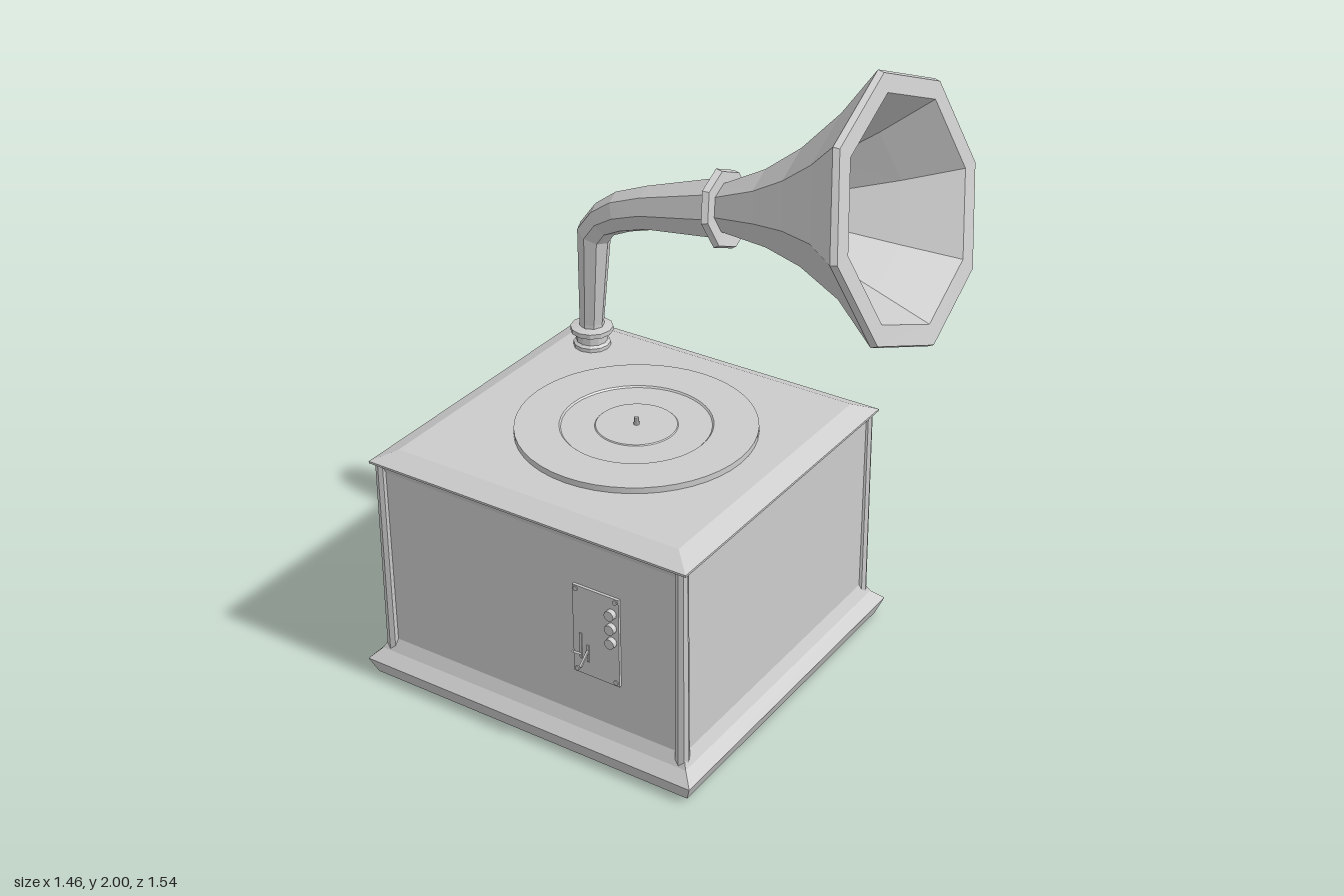
import * as THREE from 'three';
import { toCreasedNormals } from 'three/addons/utils/BufferGeometryUtils.js';

const CX = -0.12, CZ = 0.172; // cabinet centre
const HORN_Z = -0.21;         // plane of the horn
const V = (x, y, z) => new THREE.Vector3(x, y, z);

const flat = new THREE.MeshStandardMaterial({ color: 0xcccccc, flatShading: true });
const smooth = new THREE.MeshStandardMaterial({ color: 0xcccccc });

// Skins a row of rings (counter-clockwise about the travel direction) and caps both ends.
function loft(rings) {
  const pos = [];
  const tri = (a, b, c) => pos.push(...a.toArray(), ...b.toArray(), ...c.toArray());
  const n = rings[0].length;
  for (let i = 0; i < rings.length - 1; i++) {
    for (let j = 0; j < n; j++) {
      const k = (j + 1) % n;
      tri(rings[i][j], rings[i][k], rings[i + 1][k]);
      tri(rings[i][j], rings[i + 1][k], rings[i + 1][j]);
    }
  }
  const first = rings[0], last = rings[rings.length - 1];
  for (let j = 1; j < n - 1; j++) {
    tri(first[0], first[j + 1], first[j]);
    tri(last[0], last[j], last[j + 1]);
  }
  const g = new THREE.BufferGeometry();
  g.setAttribute('position', new THREE.Float32BufferAttribute(pos, 3));
  g.computeVertexNormals();
  return g;
}

// Rectangular moulding from [half width, height] rows; depth is slightly less than width.
const moulding = rows => loft(rows.map(([h, y]) => {
  const d = h - 0.013;
  return [[1, 1], [1, -1], [-1, -1], [-1, 1]].map(([sx, sz]) => V(CX + sx * h, y, CZ + sz * d));
}));

// Eight-sided sections from [upper x, upper y, lower x, lower y] silhouette pairs.
const octagons = rows => loft(rows.map(([ux, uy, lx, ly]) => {
  const c = V((ux + lx) / 2, (uy + ly) / 2, HORN_Z);
  const u = V((ux - lx) / 2, (uy - ly) / 2, 0);
  const r = u.length();
  return Array.from({ length: 8 }, (_, i) => {
    const t = i * Math.PI / 4;
    return c.clone().addScaledVector(u, Math.cos(t)).add(V(0, 0, r * Math.sin(t)));
  });
}));

const lathe = (pts, segs) => new THREE.LatheGeometry(pts.map(([r, y]) => new THREE.Vector2(r, y)), segs);

export function createModel() {
  const root = new THREE.Group();
  const add = (name, geometry, material = flat, x = 0, y = 0, z = 0, parent = root) => {
    const m = new THREE.Mesh(geometry, material);
    m.name = name;
    m.position.set(x, y, z);
    parent.add(m);
    return m;
  };

  // Cabinet
  add('base', moulding([[0.588, 0], [0.61, 0.055], [0.575, 0.09], [0.555, 0.13]]));
  add('body', moulding([[0.555, 0.12], [0.555, 0.77]]));
  add('lid', moulding([[0.55, 0.735], [0.562, 0.765], [0.576, 0.775], [0.576, 0.782], [0.51, 0.812]]));
  for (const sx of [-1, 1]) for (const sz of [-1, 1]) {
    add('cornerPost', new THREE.CylinderGeometry(0.02, 0.023, 0.69, 8), flat,
      CX + sx * 0.547, 0.425, CZ + sz * 0.537);
  }

  // Turntable with a recessed label area and a spindle
  add('turntable', toCreasedNormals(lathe([[0.38, 0.81], [0.38, 0.832], [0.24, 0.832], [0.235, 0.827],
    [0.13, 0.827], [0.127, 0.83], [0, 0.83]], 48), 0.5), smooth, -0.09, 0, 0.172);
  add('spindle', new THREE.CylinderGeometry(0.007, 0.01, 0.03, 8), flat, -0.09, 0.84, 0.172);

  // Horn: socket, bent neck, joint ring and flared bell with an inner skin
  add('neckSocket', lathe([[0.062, 0.808], [0.062, 0.825], [0.052, 0.832], [0.052, 0.86],
    [0.071, 0.866], [0.071, 0.882], [0.04, 0.888]], 12), flat, -0.525, 0, HORN_Z);
  add('neck', octagons([
    [-0.567, 0.82, -0.48, 0.82], [-0.565, 0.9, -0.483, 0.9], [-0.56, 1.25, -0.455, 1.2],
    [-0.5, 1.33, -0.43, 1.235], [-0.42, 1.39, -0.365, 1.265], [-0.3, 1.44, -0.27, 1.295],
    [-0.04, 1.53, 0, 1.335]]));
  add('jointRing', octagons([
    [-0.058, 1.525, -0.008, 1.332], [-0.045, 1.56, 0.015, 1.305],
    [-0.022, 1.556, 0.03, 1.315], [-0.015, 1.51, 0.015, 1.36]]));
  add('bell', octagons([
    [-0.03, 1.51, 0.01, 1.36], [0.13, 1.6, 0.2, 1.355], [0.255, 1.7, 0.35, 1.33],
    [0.385, 1.84, 0.53, 1.27], [0.5, 2, 0.705, 1.162], [0.52, 1.995, 0.725, 1.172],
    [0.535, 1.937, 0.707, 1.237], [0.4, 1.795, 0.52, 1.3], [0.26, 1.665, 0.34, 1.36],
    [0.13, 1.56, 0.18, 1.385], [0.01, 1.445, 0.02, 1.39]]));

  // Winding crank on the back
  const crank = new THREE.Group();
  crank.name = 'crank';
  root.add(crank);
  const flange = add('crankFlange', new THREE.CylinderGeometry(0.055, 0.055, 0.07, 12), flat, -0.165, 0.41, -0.388, crank);
  flange.rotation.x = Math.PI / 2;
  const corner = V(-0.165, 0.41, -0.715), knob = V(0.11, 0.2, -0.712);
  const bendStart = V(-0.165, 0.41, -0.6), bendEnd = corner.clone().lerp(knob, 0.38);
  const path = new THREE.CurvePath();
  path.add(new THREE.LineCurve3(V(-0.165, 0.41, -0.38), bendStart));
  path.add(new THREE.QuadraticBezierCurve3(bendStart, corner, bendEnd));
  path.add(new THREE.LineCurve3(bendEnd, knob));
  add('crankArm', new THREE.TubeGeometry(path, 18, 0.028, 8), flat, 0, 0, 0, crank);
  const grip = add('crankKnob', new THREE.SphereGeometry(0.064, 8, 5), flat, knob.x, knob.y, knob.z, crank);
  grip.quaternion.setFromUnitVectors(V(0, 1, 0), knob.clone().sub(bendEnd).normalize());

  // Control plate on the front
  const panel = new THREE.Group();
  panel.name = 'controlPanel';
  root.add(panel);
  add('plate', new THREE.BoxGeometry(0.165, 0.31, 0.012), flat, 0.132, 0.445, 0.717, panel);
  const stud = (name, r, depth, x, y) => {
    add(name, new THREE.CylinderGeometry(r, r, depth, 12), flat, x, y, 0.722 + depth / 2, panel).rotation.x = Math.PI / 2;
  };
  for (const y of [0.545, 0.495, 0.445]) stud('knob', 0.017, 0.018, 0.19, y);
  for (const x of [0.062, 0.202]) for (const y of [0.302, 0.588]) stud('screw', 0.008, 0.004, x, y);
  for (const [x, y, h, tilt] of [[0.077, 0.39, 0.09, 0.7], [0.103, 0.37, 0.06, -0.7]]) {
    add('slot', new THREE.BoxGeometry(0.008, h, 0.004), flat, x, y, 0.724, panel);
    const lever = add('lever', new THREE.BoxGeometry(0.007, 0.007, 0.055), flat, x, 0.37 + tilt * 0.01, 0.745, panel);
    lever.rotation.x = -tilt;
  }
  return root;
}
